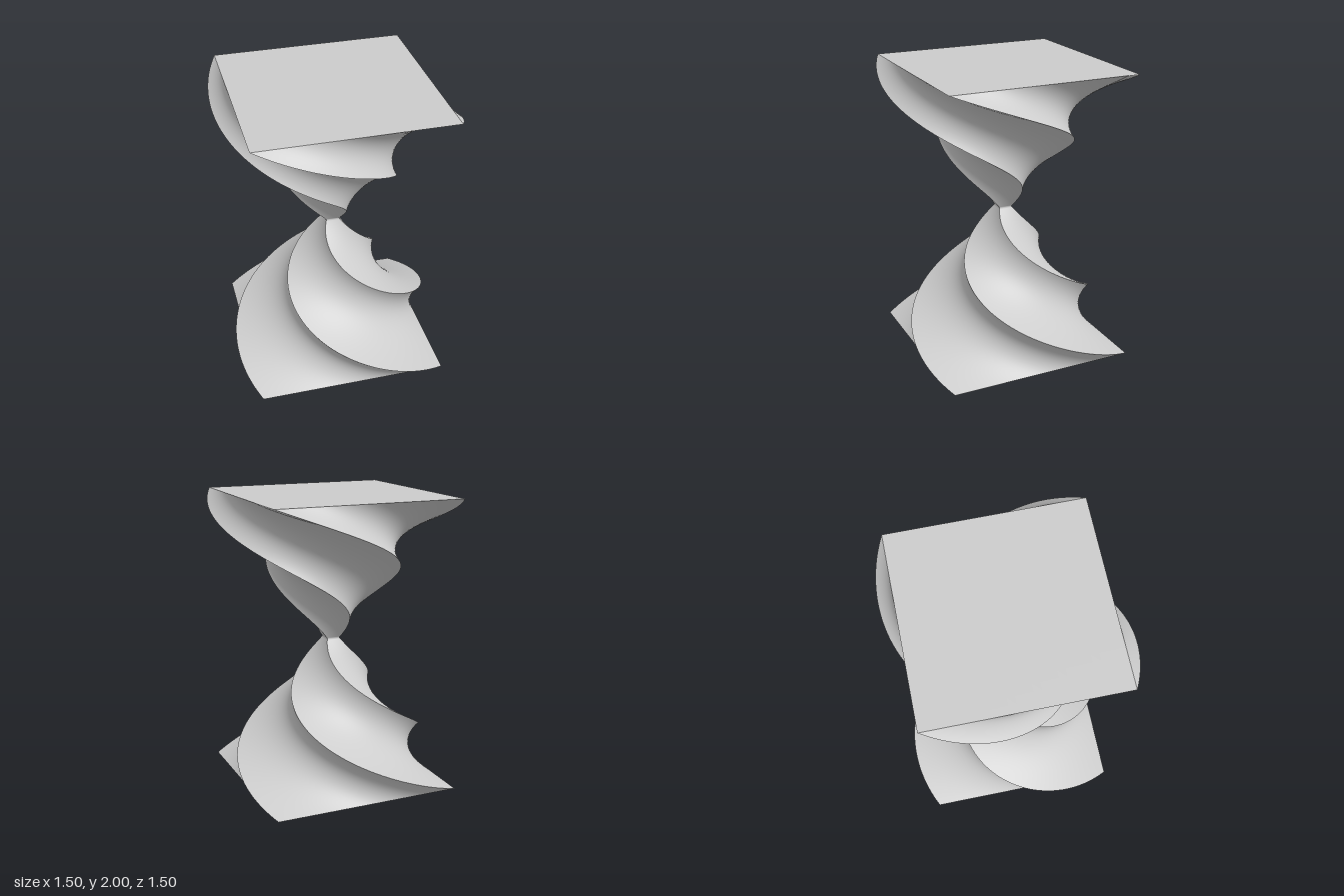
import * as THREE from 'three';

const HEIGHT = 2;
const END_HALF = 0.65;    // half side of the square at both ends
const WAIST_HALF = 0.045; // half side at the middle
const TWIST = -Math.PI;   // turn per unit of height

export function createModel() {
  const group = new THREE.Group();
  group.name = 'twistedSculpture';
  const grey = new THREE.MeshStandardMaterial({ color: 0xcccccc });
  grey.name = 'light grey';

  // Square column, each face with its own vertices so the four edges stay sharp
  const column = new THREE.BoxGeometry(2, HEIGHT, 2, 24, 240, 24);
  column.translate(0, HEIGHT / 2, 0);

  // Taper to the waist and turn one full revolution over the height
  const pos = column.attributes.position;
  const p = new THREE.Vector3();
  const up = new THREE.Vector3(0, 1, 0);
  for (let i = 0; i < pos.count; i++) {
    p.fromBufferAttribute(pos, i);
    const half = THREE.MathUtils.lerp(WAIST_HALF, END_HALF, Math.abs(p.y - HEIGHT / 2));
    p.x *= half;
    p.z *= half;
    p.applyAxisAngle(up, TWIST * p.y);
    pos.setXYZ(i, p.x, p.y, p.z);
  }
  column.computeVertexNormals();

  const mesh = new THREE.Mesh(column, grey);
  mesh.name = 'twistedColumn';
  group.add(mesh);
  return group;
}
